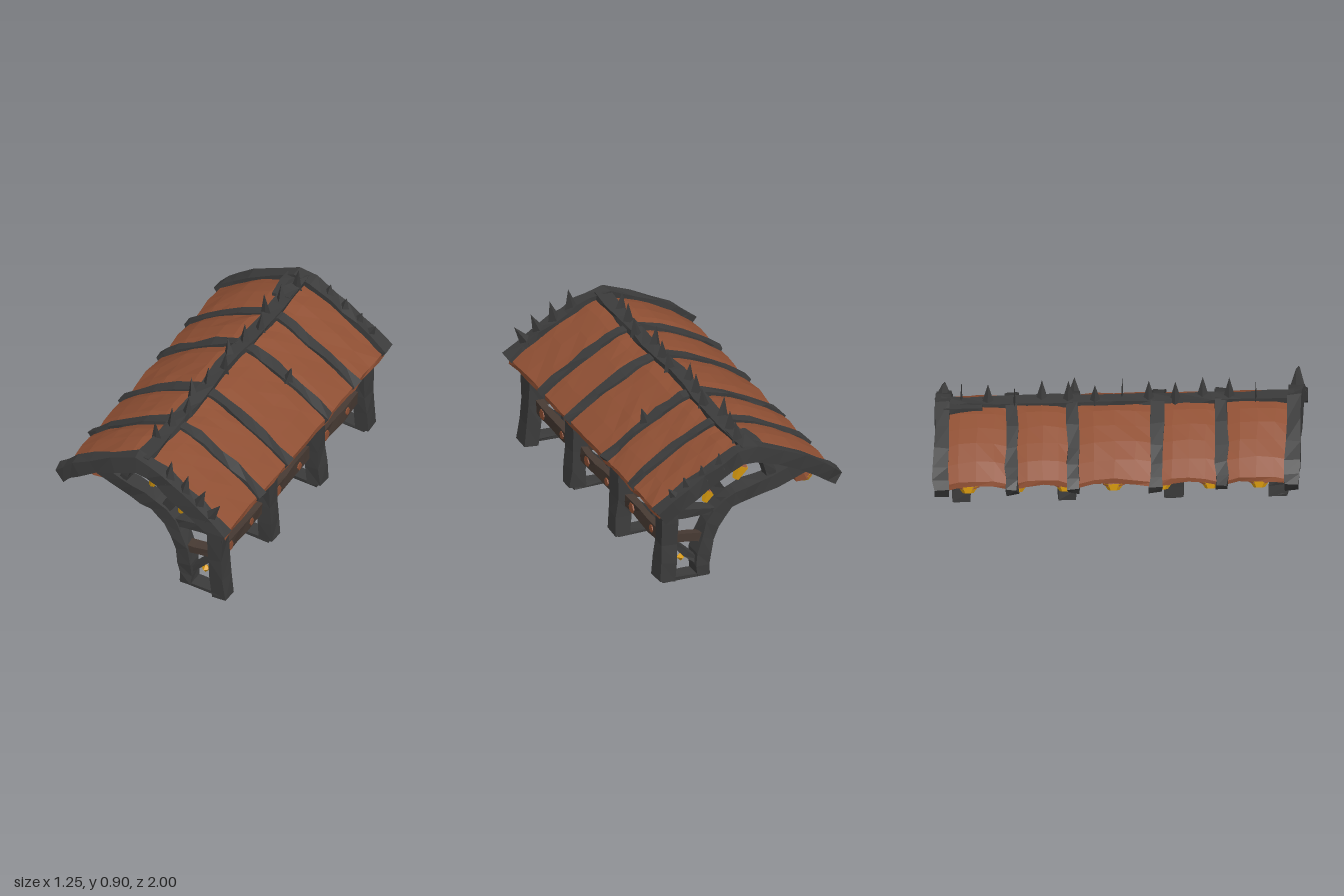
import * as THREE from 'three';

const V = (x, y, z) => new THREE.Vector3(x, y, z);
const Z = V(0, 0, 1), X = V(1, 0, 0);

// the whole shelter leans sideways along its length
const SHEAR = new THREE.Matrix4().set(1, 0, 0.095, 0, 0, 1, 0, 0, 0, 0, 1, 0, 0, 0, 0, 1);

// rough-hewn wobble, the same for coincident corners
function wobble(v, amount) {
  const h = (k) => {
    const s = Math.sin(v.x * 127.1 + v.y * 311.7 + v.z * 74.7 + k * 53.3) * 437.58;
    return (s - Math.floor(s) - 0.5) * 2 * amount;
  };
  return V(v.x + h(1), v.y + h(2), v.z + h(3));
}

// bend a box by a rule
function bentBox(segX, segZ, rule) {
  const g = new THREE.BoxGeometry(1, 1, 1, segX, 1, segZ);
  const p = g.attributes.position;
  for (let i = 0; i < p.count; i++) {
    const v = rule(p.getX(i), p.getY(i), p.getZ(i));
    p.setXYZ(i, v.x, v.y, v.z);
  }
  return g;
}

export function createModel() {
  const model = new THREE.Group();
  model.name = 'shelter';
  const material = (name, color) => {
    const m = new THREE.MeshStandardMaterial({ color });
    m.name = name;
    return m;
  };
  const charcoal = material('charcoal timber', 0x3b3b3b);
  const rust = material('rust hide', 0x905034);
  const darkWood = material('dark wood', 0x473a33);
  const gold = material('gold glow', 0xe0a010);

  function add(name, geometry, mat) {
    const g = geometry.index ? geometry.toNonIndexed() : geometry;
    g.applyMatrix4(SHEAR);
    g.computeVertexNormals();
    const mesh = new THREE.Mesh(g, mat);
    mesh.name = name;
    model.add(mesh);
  }

  // square timber following a path; "side" is the direction of its width
  function beam(name, mat, points, width, height, side, segments = 4, rough = 0.006) {
    const curve = new THREE.CatmullRomCurve3(points);
    add(name, bentBox(1, segments, (x, y, z) => {
      const p = curve.getPoint(z + 0.5), t = curve.getTangent(z + 0.5);
      const up = t.clone().cross(side).normalize();
      p.addScaledVector(side, x * width).addScaledVector(up, y * height);
      return wobble(p, rough);
    }), mat);
  }

  function spike(name, x, y, z, height, radius, lean, depth = 1) {
    const g = new THREE.ConeGeometry(radius, height, 4);
    g.scale(1, 1, depth).translate(0, height / 2, 0).rotateZ(-lean).translate(x, y, z);
    add(name, g, charcoal);
  }

  // roof height across the width
  const profile = [[-0.515, 0.54], [-0.43, 0.605], [-0.26, 0.7], [-0.02, 0.79],
    [0.11, 0.745], [0.21, 0.69], [0.36, 0.6], [0.51, 0.49]];
  const roofY = (x) => {
    let i = 0;
    while (i < profile.length - 2 && x > profile[i + 1][0]) i++;
    const [a, b] = [profile[i], profile[i + 1]];
    return a[1] + (b[1] - a[1]) * (x - a[0]) / (b[0] - a[0]);
  };

  // rafters over the roof: z at the left-hand and right-hand eave
  const rafters = [[-0.92, -0.955], [-0.54, -0.6], [-0.21, -0.275],
    [0.23, 0.195], [0.585, 0.525], [0.955, 0.945]];
  const rafterZ = ([a, b], x) => a + (b - a) * (x + 0.53) / 1.06;
  rafters.forEach((r, i) => {
    const end = i === 0 || i === 5;
    const pts = profile.map(([x, y]) => V(x, y - 0.025, rafterZ(r, x)));
    beam('rafter', charcoal, pts, end ? 0.08 : 0.065, end ? 0.085 : 0.06, Z, 12, 0.008);
  });

  // hide panels between the rafters, one per slope, with a dark underside;
  // the low slope billows upward
  const hide = [rust, rust, rust, darkWood, rust, rust];
  for (let i = 0; i < 5; i++) {
    for (const [x0, x1, billow] of [[-0.495, -0.01, 0.028], [-0.01, 0.51, 0.006]]) {
      add('roofPanel', bentBox(5, 4, (x, y, z) => {
        const px = x0 + (x1 - x0) * (x + 0.5);
        const za = rafterZ(rafters[i], px), zb = rafterZ(rafters[i + 1], px);
        const rise = billow * (1 - 4 * z * z) * (px < 0 ? Math.min(1, -px * 8) : 1);
        return wobble(V(px, roofY(px) - 0.023 + y * 0.028 + rise,
          za + (zb - za) * (z + 0.5)), 0.005);
      }), hide);
    }
  }

  // ridge beam, its thick rear end, and its row of spikes
  beam('ridgeBeam', charcoal, [-0.95, -0.5, 0, 0.5, 0.95].map((z, i) =>
    V(-0.015 + (i % 2) * 0.008, 0.765, z)), 0.08, 0.055, X, 12, 0.009);
  beam('ridgeEnd', charcoal, [V(-0.04, 0.765, -0.93), V(-0.03, 0.765, -0.72)], 0.115, 0.05, X, 2);
  const thinSpikes = [0, 5, 9, 11];
  for (let i = 0; i < 12; i++) {
    spike('ridgeSpike', -0.01 + (i % 3 - 1) * 0.02, 0.775, 0.74 - i * 0.1436,
      0.118 + (i % 2) * 0.012, 0.034, (i % 3 - 1) * 0.1, thinSpikes.includes(i) ? 0.2 : 1);
  }
  // spikes down the end rafters on the tall side
  for (const [z, h] of [[0.945, 0.14], [-0.95, 0.09]]) {
    [[0.155, 0.15], [0.25, 0.22], [0.335, 0.4], [0.405, 0.6]].forEach(([x, lean]) =>
      spike('rafterSpike', x, roofY(x) - 0.015, z, h, 0.042, lean));
  }
  spike('rafterSpike', 0.27, roofY(0.27) - 0.01, -0.25, 0.1, 0.035, 0.25);

  // four supporting frames; the front one has a longer, splayed foot
  [0.85, 0.285, -0.285, -0.85].forEach((z, i) => {
    const P = (...list) => list.map(([x, y]) => V(x, y, z));
    const foot = i === 0 ? [0.447, 0.006] : [0.44, 0.03];
    beam('outerPost', charcoal, P(foot, [0.425, 0.25], [0.42, 0.5]), 0.1, 0.085, Z, 4);
    beam('curvedLeg', charcoal, P([0.235, 0.03], [0.23, 0.16], [0.175, 0.33], [0.09, 0.44],
      [-0.03, 0.49], [-0.18, 0.53], [-0.34, 0.595]), 0.1, 0.075, Z, 12);
    beam('sill', charcoal, P([0.2, 0.035], [0.46, 0.03]), 0.09, 0.018, Z, 2, 0.004);
    beam('crossTie', charcoal, P([0.14, 0.39], [0.28, 0.415], [0.44, 0.41]), 0.07, 0.05, Z, 3);
    beam('rung', darkWood, P([0.2, 0.25], [0.43, 0.27]), 0.06, 0.05, Z, 2);
    beam('upperBrace', charcoal, P([0.09, 0.45], [0.15, 0.54], [0.2, 0.65]), 0.07, 0.06, Z, 3);
    beam('kingPost', charcoal, P([-0.17, 0.53], [-0.15, 0.62], [-0.1, 0.73]), 0.07, 0.055, Z, 3);
    beam('lowerBrace', charcoal, P([0.24, 0.1], [0.32, 0.17], [0.41, 0.26]), 0.05, 0.035, Z, 2);

    // crystals hung in the openings of the frame, each under a rust cap
    for (const [x, y, s] of [[0.01, 0.6, 1], [0.19, 0.485, 0.85]]) {
      const tilt = i % 2 ? 0.4 : -0.3;
      const g = new THREE.CylinderGeometry(0.042 * s, 0.018 * s, 0.085 * s, 5);
      add('crystal', g.rotateZ(tilt).translate(x, y, z), gold);
      const cap = new THREE.CylinderGeometry(0.015 * s, 0.038 * s, 0.03 * s, 5);
      cap.translate(0, 0.056 * s, 0).rotateZ(tilt).translate(x, y, z);
      add('crystalCap', cap, rust);
    }
    add('smallCrystal', new THREE.OctahedronGeometry(0.026).translate(0.34, 0.14, z), gold);
  });

  // rails joining the outer posts, with rust patches on the outer face
  [0.5675, 0, -0.5675].forEach((m) => {
    beam('rail', darkWood, [V(0.4, 0.24, m + 0.28), V(0.4, 0.23, m), V(0.4, 0.24, m - 0.28)],
      0.045, 0.075, X, 5);
    for (const [dz, r] of [[0.15, 0.03], [-0.1, 0.022]]) {
      const patch = new THREE.CylinderGeometry(r, r, 0.008, 6);
      patch.rotateZ(-Math.PI / 2).translate(0.426, 0.235, m + dz);
      add('railPatch', patch, rust);
    }
  });

  // lanterns under the overhanging eave: rust body with a gold tip turned outward
  for (let i = 0; i < 7; i++) {
    const z = 0.78 - i * 0.26;
    const body = new THREE.CylinderGeometry(0.045, 0.06, 0.085, 6);
    add('lanternBody', body.rotateZ(-0.35).translate(-0.37, 0.512, z), rust);
    const tip = new THREE.CylinderGeometry(0.054, 0.03, 0.035, 6);
    tip.translate(0, -0.06, 0).rotateZ(-0.45).translate(-0.375, 0.523, z);
    add('lanternTip', tip, gold);
  }
  return model;
}
